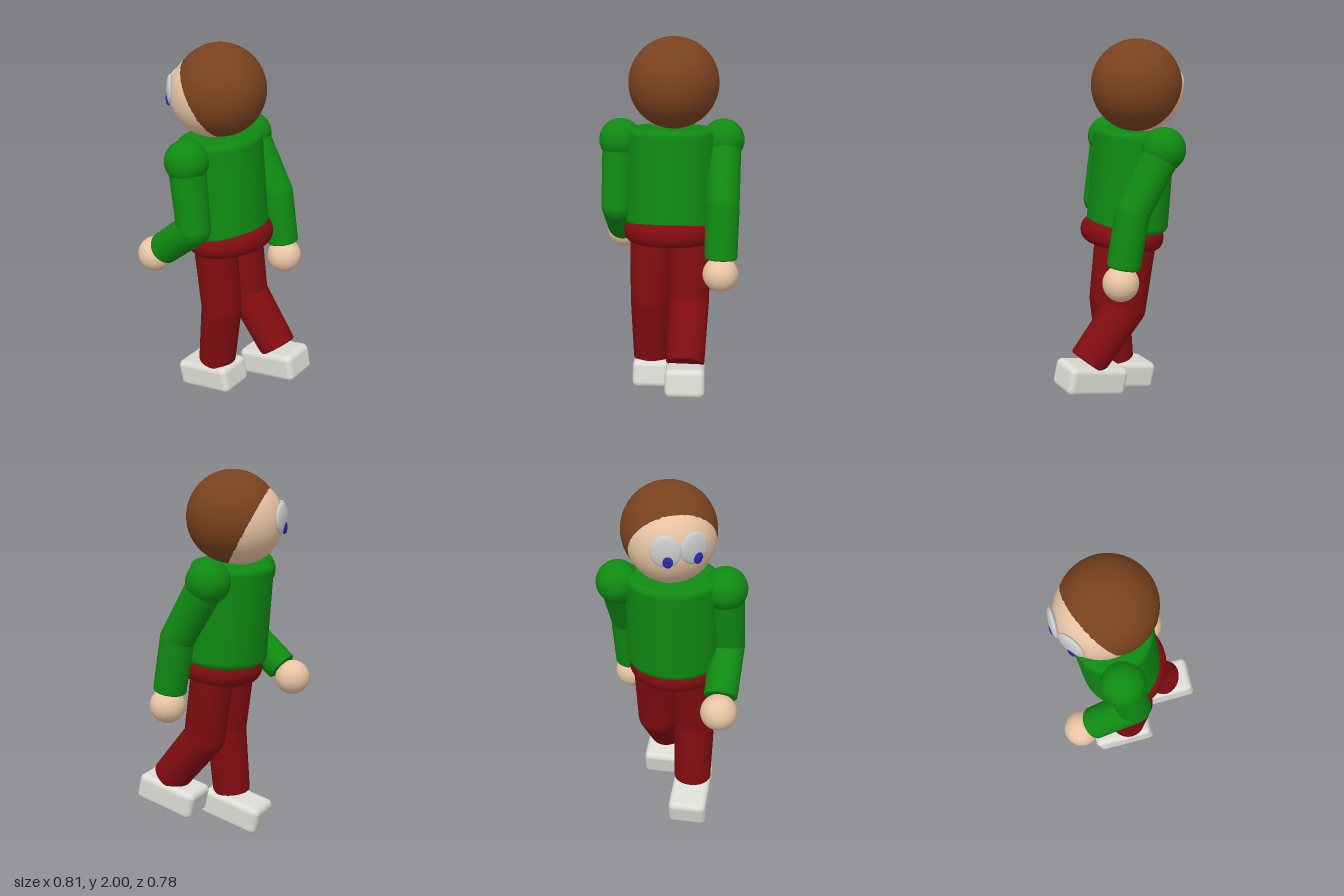
import * as THREE from 'three';
import { RoundedBoxGeometry } from 'three/addons/geometries/RoundedBoxGeometry.js';

const paint = (color) => new THREE.MeshStandardMaterial({ color });
const V = (x, y, z) => new THREE.Vector3(x, y, z);

export function createModel() {
  const model = new THREE.Group();
  const hairMat = paint(0x7a421e), skin = paint(0xe8c4a4), green = paint(0x0f8a12);
  const red = paint(0x800c10), shoeMat = paint(0xdcdcd6), eyeMat = paint(0xcccccc), blue = paint(0x2a2aa8);

  const add = (name, geometry, material, pos, parent = model) => {
    const mesh = new THREE.Mesh(geometry, material);
    mesh.name = name;
    mesh.position.copy(pos);
    parent.add(mesh);
    return mesh;
  };
  const ball = (name, r, material, pos, parent) =>
    add(name, new THREE.SphereGeometry(r, 40, 28), material, pos, parent);

  // Solid of revolution with rounded rims, r0 at the bottom and r1 at the top
  const drum = (r0, r1, h, bevel) => {
    const pts = [new THREE.Vector2(0, 0)];
    for (let i = 0; i <= 6; i++) {
      const a = (i / 6) * Math.PI / 2;
      pts.push(new THREE.Vector2(r0 - bevel + bevel * Math.sin(a), bevel - bevel * Math.cos(a)));
    }
    for (let i = 0; i <= 6; i++) {
      const a = (i / 6) * Math.PI / 2;
      pts.push(new THREE.Vector2(r1 - bevel + bevel * Math.cos(a), h - bevel + bevel * Math.sin(a)));
    }
    pts.push(new THREE.Vector2(0, h));
    return new THREE.LatheGeometry(pts, 48);
  };

  // Limb segment running from a (radius ra) to b (radius rb)
  const limb = (name, a, b, ra, rb, material) => {
    const dir = b.clone().sub(a);
    const mesh = add(name, drum(ra, rb, dir.length(), 0.012), material, a);
    mesh.quaternion.setFromUnitVectors(V(0, 1, 0), dir.normalize());
  };

  // Head: skin ball set forward and down from the hair ball
  ball('hair', 0.24, hairMat, V(-0.105, 1.76, -0.013));
  ball('face', 0.225, skin, V(-0.142, 1.738, 0.004));

  // Eyes: flattened discs facing outward, each with a small pupil
  [
    ['right', V(-0.366, 1.757, 0.032), V(-0.99, 0, 0.13)],
    ['left', V(-0.298, 1.76, 0.156), V(-0.73, 0, 0.69)],
  ].forEach(([side, pos, normal]) => {
    const eye = new THREE.Group();
    eye.name = side + 'Eye';
    eye.position.copy(pos);
    eye.quaternion.setFromUnitVectors(V(0, 0, 1), normal.normalize());
    model.add(eye);
    ball(side + 'Eyeball', 1, eyeMat, V(0, 0, 0), eye).scale.set(0.076, 0.08, 0.021);
    ball(side + 'Pupil', 1, blue, V(0.012, -0.045, 0.012), eye).scale.set(0.026, 0.034, 0.013);
  });

  // Body: jumper leaning forward, and the trouser waist below it
  const torso = add('torso', drum(0.25, 0.245, 0.53, 0.035), green, V(-0.055, 0.995, 0));
  torso.scale.x = 0.85;
  torso.rotation.z = 0.085;
  const waist = add('waist', drum(0.25, 0.25, 0.13, 0.06), red, V(-0.016, 0.902, 0));
  waist.scale.x = 0.88;
  waist.rotation.z = 0.15;

  // Arms
  [
    ['left', V(-0.08, 1.455, 0.272), V(-0.028, 1.1, 0.285), V(-0.25, 0.915, 0.291), V(-0.313, 0.865, 0.295)],
    ['right', V(-0.122, 1.455, -0.278), V(0.06, 1.15, -0.288), V(0.113, 0.86, -0.286), V(0.127, 0.78, -0.286)],
  ].forEach(([side, shoulder, elbow, wrist, hand]) => {
    ball(side + 'Shoulder', 0.114, green, shoulder);
    limb(side + 'UpperArm', shoulder, elbow, 0.097, 0.09, green);
    ball(side + 'Elbow', 0.09, green, elbow);
    limb(side + 'Forearm', elbow, wrist, 0.09, 0.088, green);
    ball(side + 'Hand', 0.095, skin, hand);
  });

  // Legs and shoes, mid-stride
  [
    ['left', 0.104, V(-0.045, 0.95, 0), V(0, 0.57, 0), V(-0.037, 0.2, 0), V(-0.07, 0.11, 0)],
    ['right', -0.109, V(-0.045, 0.95, 0), V(0.01, 0.575, 0), V(0.238, 0.3, 0), V(0.22, 0.213, 0)],
  ].forEach(([side, z, hip, knee, ankle, foot]) => {
    [hip, knee, ankle, foot].forEach((p) => { p.z = z; });
    limb(side + 'Thigh', hip, knee, 0.117, 0.112, red);
    ball(side + 'Knee', 0.112, red, knee);
    limb(side + 'Shin', knee, ankle, 0.112, 0.104, red);
    const shoe = add(side + 'Shoe', new RoundedBoxGeometry(0.352, 0.153, 0.212, 5, 0.032), shoeMat, foot);
    shoe.rotation.set(0, 0.06, 0.22);
  });

  return model;
}
